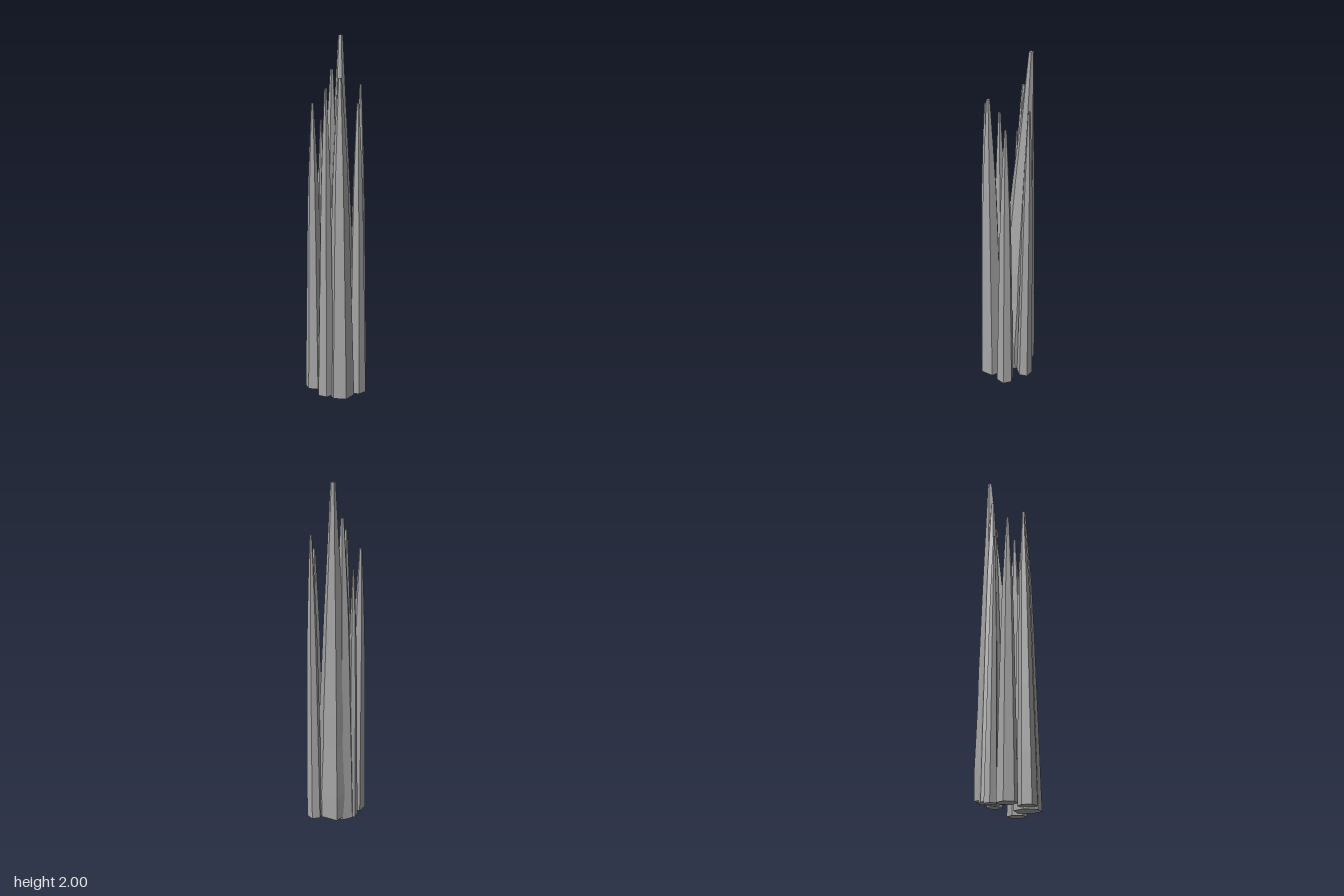
import * as THREE from 'three';

const stone = new THREE.MeshStandardMaterial({ color: 0xa6a6a6, flatShading: true });
stone.name = 'grey stone';

// Joins equal-sided rings of [x, y, z] points into a closed solid.
function loft(rings) {
  const n = rings[0].length;
  const pos = [];
  const tri = (a, b, c) => pos.push(...a, ...b, ...c);
  for (let i = 0; i < rings.length - 1; i++) {
    for (let j = 0; j < n; j++) {
      const k = (j + 1) % n;
      tri(rings[i][j], rings[i + 1][j], rings[i][k]);
      tri(rings[i + 1][j], rings[i + 1][k], rings[i][k]);
    }
  }
  const low = rings[0], high = rings[rings.length - 1];
  for (let j = 1; j < n - 1; j++) {
    tri(low[0], low[j], low[j + 1]);
    tri(high[0], high[j + 1], high[j]);
  }
  const g = new THREE.BufferGeometry();
  g.setAttribute('position', new THREE.Float32BufferAttribute(pos, 3));
  g.computeVertexNormals();
  return g;
}

// Tapering levels: [fraction of height, fraction of radius]
const taper = [[0, 1], [0.15, 0.92], [0.36, 0.79], [0.55, 0.68], [0.72, 0.55], [0.86, 0.36], [1, 0.14]];

// Six-sided spire leaning from its base centre to its tip.
function spire({ base, tip, y0, y1, r, turn }) {
  return loft(taper.map(([h, s]) => {
    const cx = base[0] + (tip[0] - base[0]) * h;
    const cz = base[1] + (tip[1] - base[1]) * h;
    return Array.from({ length: 6 }, (_, j) => {
      const a = THREE.MathUtils.degToRad(turn + j * 60);
      return [cx + Math.cos(a) * r * s, y0 + (y1 - y0) * h, cz + Math.sin(a) * r * s];
    });
  }));
}

// Large irregular spire: the outline shrinks towards an off-centre tip.
function mainSpire() {
  const outline = [[0.05, -0.168], [0.12, -0.095], [0.11, 0.01], [0.025, 0.06], [-0.08, 0.04], [-0.06, -0.125]];
  const levels = [[0.06, 0.93], [0.22, 0.97], [0.55, 0.76], [0.75, 0.72], [1.0, 0.58], [1.3, 0.42], [1.6, 0.23], [2.0, 0]];
  const tx = 0.05, tz = -0.105;
  return loft(levels.map(([y, s]) => outline.map(([x, z], j) => {
    const a = THREE.MathUtils.degToRad(-90 + j * 60);
    const ex = tx + Math.cos(a) * 0.0135, ez = tz + Math.sin(a) * 0.0135;
    return [ex + (x - ex) * s, y, ez + (z - ez) * s];
  })));
}

export function createModel() {
  const group = new THREE.Group();
  group.name = 'spireCluster';
  const add = (name, geometry) => {
    const mesh = new THREE.Mesh(geometry, stone);
    mesh.name = name;
    group.add(mesh);
  };

  add('mainSpire', mainSpire());

  // Smaller spires around the main one
  const spires = {
    rightSpire: { base: [-0.134, -0.03], tip: [-0.137, -0.028], y0: 0.025, y1: 1.64, r: 0.054, turn: 30 },
    frontRightSpire: { base: [-0.103, 0.075], tip: [-0.097, 0.072], y0: 0.02, y1: 1.72, r: 0.05, turn: 45 },
    frontSpire: { base: [-0.017, 0.095], tip: [-0.025, 0.092], y0: 0.01, y1: 1.77, r: 0.073, turn: 28 },
    frontLeftSpire: { base: [0.092, 0.062], tip: [0.09, 0.056], y0: 0, y1: 1.64, r: 0.052, turn: 40 },
    leftSpire: { base: [0.143, -0.045], tip: [0.145, -0.045], y0: 0.05, y1: 1.74, r: 0.046, turn: 10 },
    backRightSpire: { base: [-0.072, -0.1], tip: [-0.068, -0.095], y0: 0.03, y1: 1.55, r: 0.036, turn: 15 },
    backSpire: { base: [-0.025, -0.09], tip: [-0.004, -0.095], y0: 0.04, y1: 1.82, r: 0.065, turn: 0 },
  };
  for (const [name, s] of Object.entries(spires)) add(name, spire(s));
  return group;
}
